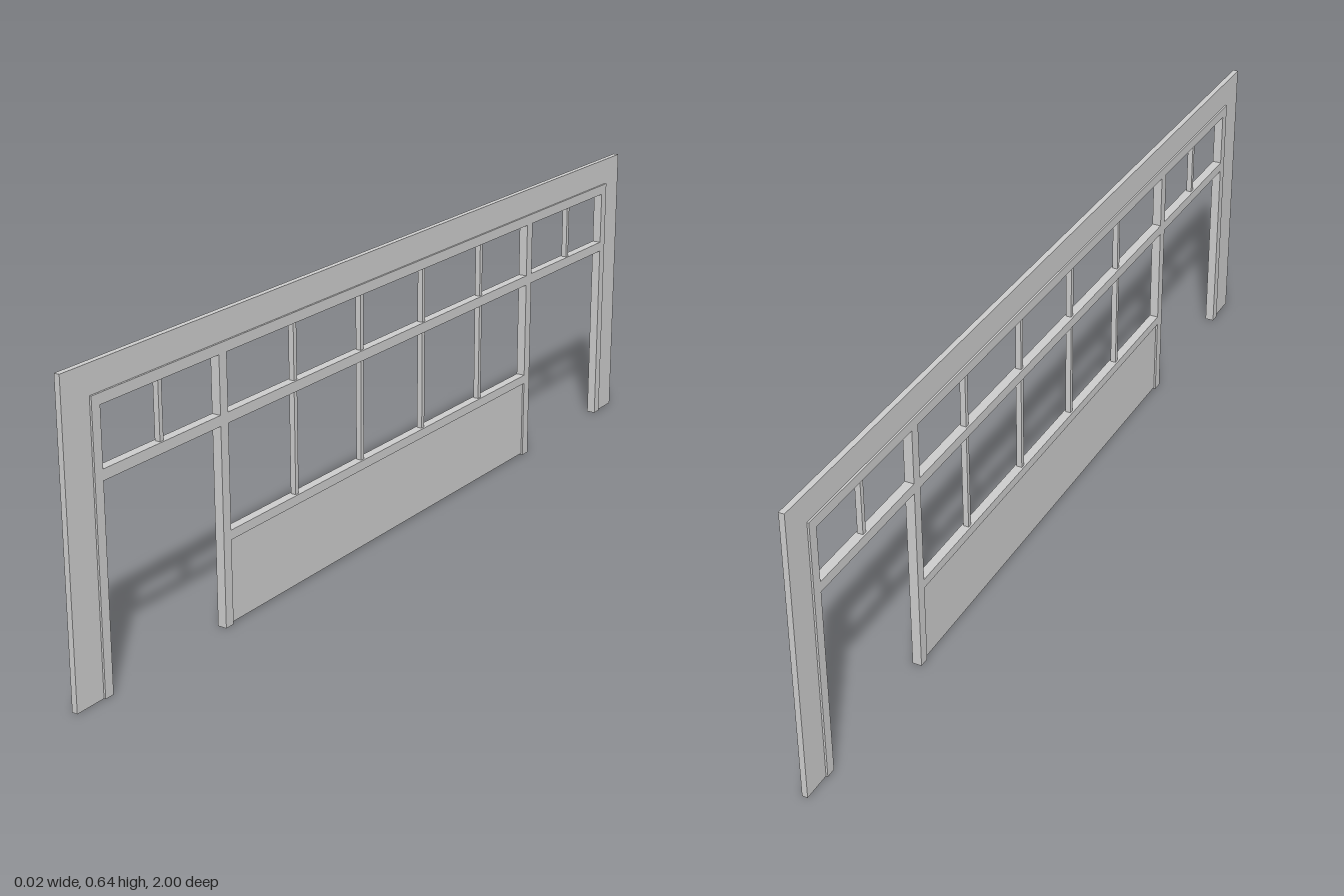
import * as THREE from 'three';

export function createModel() {
  const group = new THREE.Group();
  const material = new THREE.MeshStandardMaterial({ color: 0xcccccc, flatShading: true });

  const add = (name, geometry) => {
    const mesh = new THREE.Mesh(geometry, material);
    mesh.name = name;
    group.add(mesh);
  };

  // Bar given by its thickness in x and its extents in y and z
  const bar = (name, thickness, y0, y1, z0, z1) => {
    const g = new THREE.BoxGeometry(thickness, y1 - y0, z1 - z0);
    g.translate(0, (y0 + y1) / 2, (z0 + z1) / 2);
    add(name, g);
  };

  // Portal open at the bottom, drawn in the z-y plane and extruded along x
  const portal = (name, thickness, outer, inner) => {
    const [a, b, top] = outer, [c, d, head] = inner;
    const points = [[a, 0], [c, 0], [c, head], [d, head], [d, 0], [b, 0], [b, top], [a, top]];
    const shape = new THREE.Shape(points.map(([z, y]) => new THREE.Vector2(-z, y)));
    const g = new THREE.ExtrudeGeometry(shape, { depth: thickness, bevelEnabled: false });
    g.translate(0, 0, -thickness / 2);
    g.rotateY(Math.PI / 2);
    add(name, g);
  };

  const deep = 0.02, thin = 0.012;
  const back = -0.914, front = 0.906, head = 0.557;

  // Flat casing with a thicker inner frame
  portal('casing', thin, [-1, 1, 0.638], [-0.936, 0.928, 0.579]);
  portal('innerFrame', deep, [-0.936, 0.928, 0.579], [back, front, head]);

  // Transom across the whole opening and the two door posts
  bar('transom', deep, 0.416, 0.438, back, front);
  bar('frontPost', deep, 0, head, 0.551, 0.574);
  bar('backPost', deep, 0, head, -0.583, -0.56);

  // Lower panel under its sill
  bar('sill', deep, 0.178, 0.198, -0.56, 0.551);
  bar('lowerPanel', thin, 0.003, 0.178, -0.56, 0.551);

  // Slim glazing bars: over the doors, then through the window
  for (const z of [0.741, -0.757]) bar('doorLightBar', thin, 0.438, head, z - 0.005, z + 0.005);
  for (const z of [0.331, 0.1, -0.132, -0.366]) {
    bar('windowBar', thin, 0.198, head, z - 0.005, z + 0.005);
  }
  return group;
}
